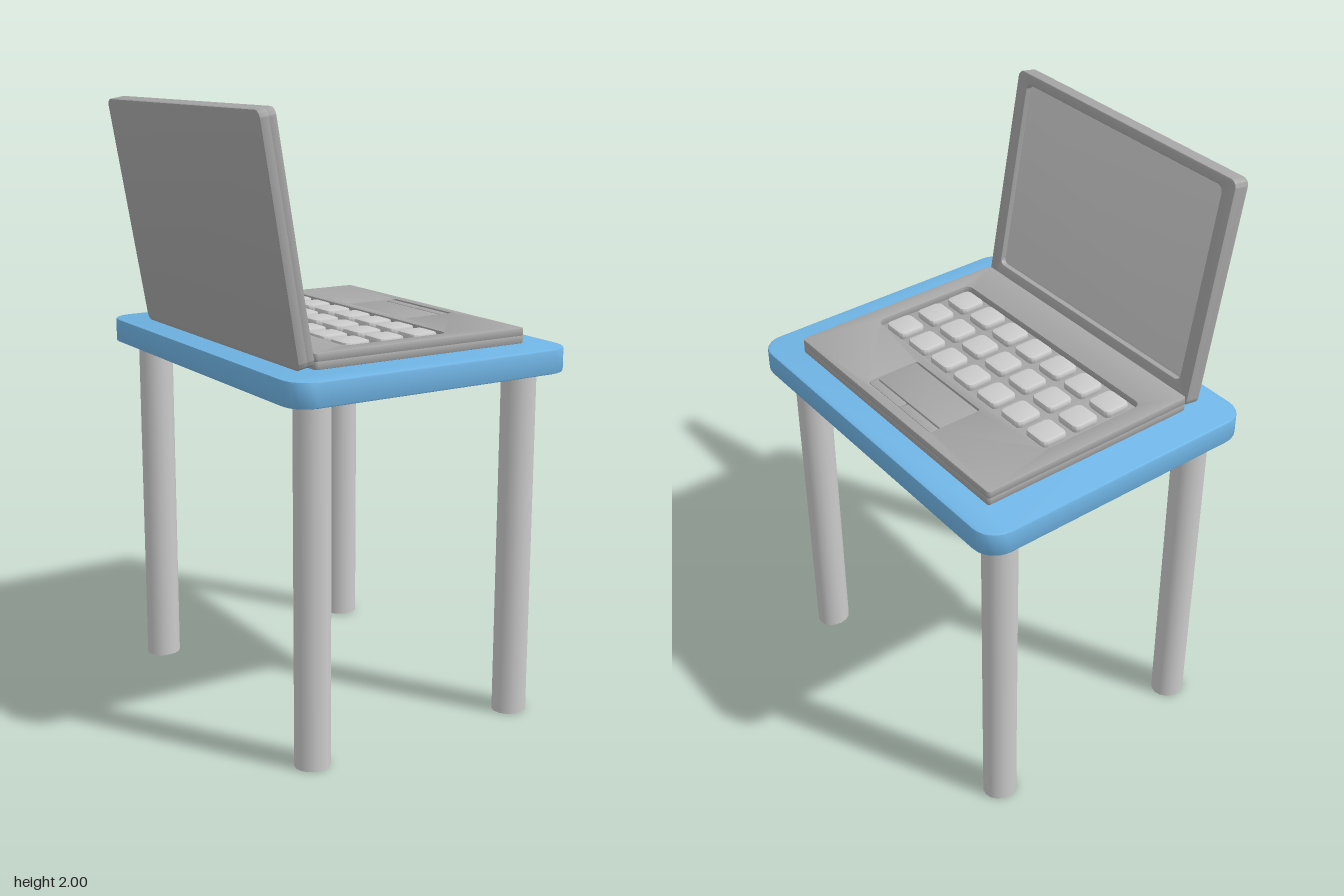
import * as THREE from 'three';
import { toCreasedNormals } from 'three/addons/utils/BufferGeometryUtils.js';

const grey = new THREE.MeshStandardMaterial({ color: 0xcccccc });
const darkGrey = new THREE.MeshStandardMaterial({ color: 0xa6a6a6 });
const blue = new THREE.MeshStandardMaterial({ color: 0x70b5e6 });

// Rounded rectangle centred on (cx, cy)
function roundedRect(w, h, r, cx = 0, cy = 0, Type = THREE.Shape) {
  const x = w / 2 - r, y = h / 2 - r, p = new Type();
  p.absarc(cx + x, cy + y, r, 0, Math.PI / 2);
  p.absarc(cx - x, cy + y, r, Math.PI / 2, Math.PI);
  p.absarc(cx - x, cy - y, r, Math.PI, Math.PI * 1.5);
  p.absarc(cx + x, cy - y, r, Math.PI * 1.5, Math.PI * 2);
  p.closePath();
  return p;
}

// Flat slab with bevelled rims, its underside on y = 0; holes are [w, d, r, cx]
function slab(name, material, w, d, h, { r = 0.02, bevel = 0.004, holes = [], segments = 4, bevelSegments = 2 } = {}) {
  const shape = roundedRect(w, d, r);
  for (const [hw, hd, hr, cx] of holes) shape.holes.push(roundedRect(hw, hd, hr, cx, 0, THREE.Path));
  const geo = new THREE.ExtrudeGeometry(shape, {
    depth: h - 2 * bevel, curveSegments: segments, bevelEnabled: true,
    bevelThickness: bevel, bevelSize: bevel, bevelOffset: -bevel, bevelSegments,
  });
  geo.translate(0, 0, bevel).rotateX(-Math.PI / 2);
  const mesh = new THREE.Mesh(toCreasedNormals(geo, 0.6), material);
  mesh.name = name;
  return mesh;
}

function place(parent, mesh, x, y, z) {
  mesh.position.set(x, y, z);
  parent.add(mesh);
  return mesh;
}

function createTable() {
  const table = new THREE.Group();
  table.name = 'table';
  place(table, slab('tableTop', blue, 1.02, 1.28, 0.08, { r: 0.08, bevel: 0.006, segments: 3 }), 0.016, 1.16, 0);
  // Four slightly oval legs
  const legGeo = new THREE.CylinderGeometry(0.059, 0.059, 1.165, 16).scale(1, 1, 0.9);
  for (const x of [-0.37, 0.4]) {
    for (const z of [-0.525, 0.525]) {
      const leg = new THREE.Mesh(legGeo, grey);
      leg.name = 'tableLeg';
      place(table, leg, x, 0.5825, z);
    }
  }
  return table;
}

function createLaptop() {
  const laptop = new THREE.Group();
  laptop.name = 'laptop';

  // Base: solid floor below a deck with wells for the keys and trackpad
  const cx = 0.04, deckY = 1.264;
  place(laptop, slab('baseFloor', darkGrey, 0.78, 1.02, 0.026, { r: 0.01, bevel: 0.003 }), cx, 1.24, 0);
  place(laptop, slab('baseDeck', darkGrey, 0.78, 1.02, 0.026, {
    r: 0.01, bevel: 0.003,
    holes: [[0.38, 0.9, 0.025, -0.02 - cx], [0.19, 0.34, 0.01, 0.3 - cx]],
  }), cx, deckY, 0);

  // Three rows of seven keys
  for (let row = 0; row < 3; row++) {
    for (let i = 0; i < 7; i++) {
      place(laptop, slab('key', grey, 0.097, 0.097, 0.027, { r: 0.02, bevel: 0.008 }),
        -0.143 + row * 0.1255, deckY, (i - 3) * 0.1255);
    }
  }

  // Trackpad with two buttons along its front edge
  place(laptop, slab('trackpad', darkGrey, 0.148, 0.336, 0.022, { r: 0.008, bevel: 0.003 }), 0.282, deckY, 0);
  for (const side of [-1, 1]) {
    place(laptop, slab('trackpadButton', darkGrey, 0.032, 0.165, 0.022, { r: 0.006, bevel: 0.003 }), 0.376, deckY, side * 0.085);
  }

  // Lid: built lying flat, then tilted up with its screen towards the keys
  const lid = new THREE.Group();
  lid.name = 'lid';
  place(lid, slab('lidBack', darkGrey, 0.762, 1.02, 0.034, { r: 0.025 }), 0, -0.0275, 0);
  place(lid, slab('screenFrame', darkGrey, 0.762, 1.02, 0.03, {
    r: 0.025, holes: [[0.654, 0.92, 0.02, -0.018]],
  }), 0, -0.0025, 0);
  place(lid, slab('screen', grey, 0.65, 0.916, 0.012, { r: 0.02, bevel: 0.003 }), -0.018, 0, 0);
  lid.position.set(-0.439, 1.62, 0);
  lid.rotation.z = -THREE.MathUtils.degToRad(80.3);
  laptop.add(lid);
  return laptop;
}

export function createModel() {
  const model = new THREE.Group();
  model.name = 'laptopOnTable';
  model.add(createTable(), createLaptop());
  return model;
}
